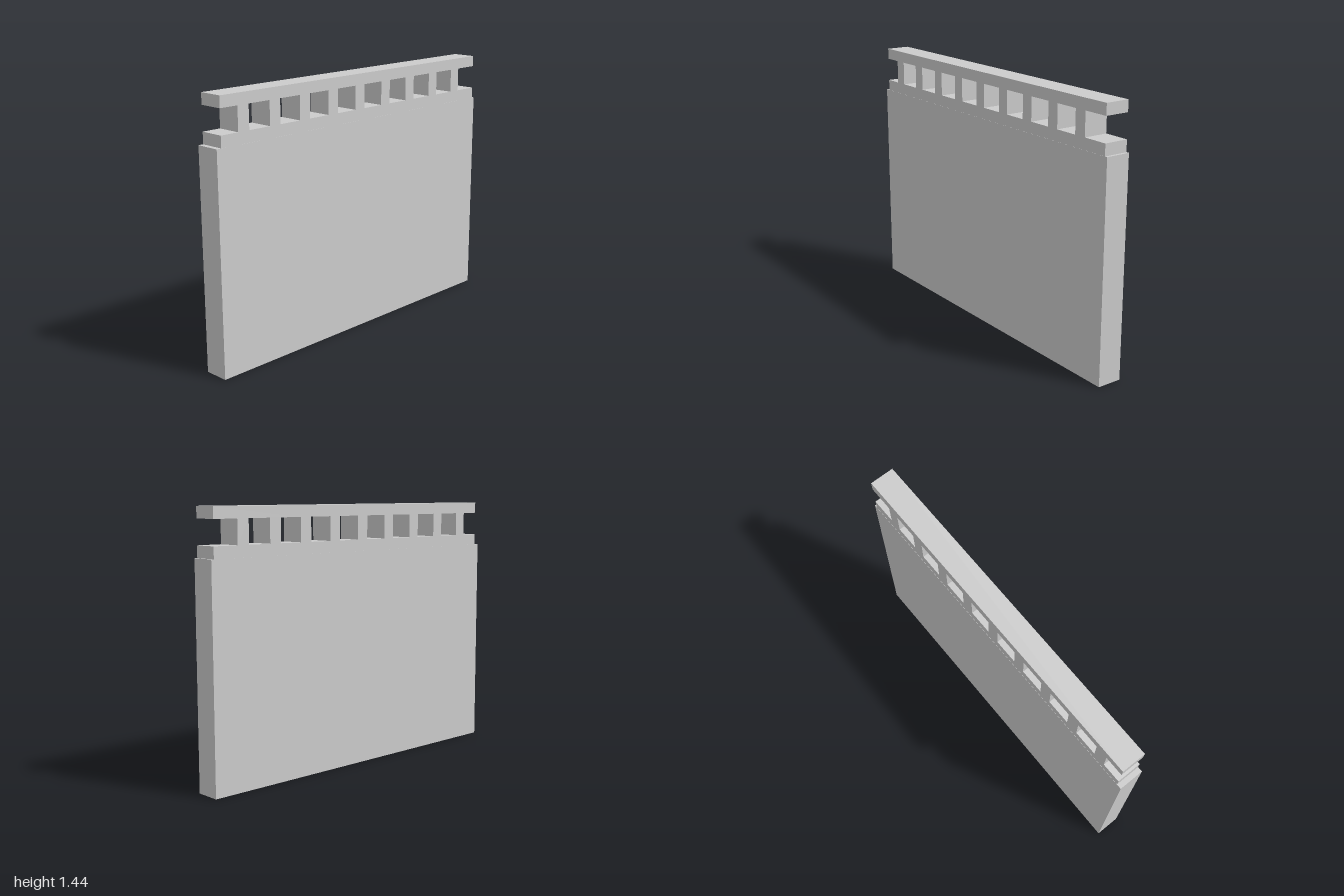
import * as THREE from 'three';

const material = new THREE.MeshStandardMaterial({ color: 0xcccccc, side: THREE.DoubleSide, flatShading: true });

// Wall panel: a hollow box, open underneath
function panelGeometry(width, height, depth) {
  const geometry = new THREE.BoxGeometry(width, height, depth);
  const index = Array.from(geometry.index.array);
  index.splice(18, 6); // drop the bottom face
  geometry.setIndex(index);
  geometry.clearGroups();
  geometry.translate(0, height / 2, 0);
  return geometry;
}

// Pierced rail: bottom and top bars joined by posts, open at both ends
function railGeometry(depth) {
  const left = -0.972, right = 0.984;
  const y0 = 1.184, y1 = 1.246, y2 = 1.376, y3 = 1.437;
  const posts = 9, pitch = 0.2044, first = -0.83, half = 0.035;
  const postX = (i) => first + i * pitch;
  const inL = postX(0) - half, inR = postX(posts - 1) + half;

  const shape = new THREE.Shape([
    [left, y0], [right, y0], [right, y1], [inR, y1], [inR, y2], [right, y2],
    [right, y3], [left, y3], [left, y2], [inL, y2], [inL, y1], [left, y1],
  ].map(([x, y]) => new THREE.Vector2(x, y)));

  // Square openings between neighbouring posts
  for (let i = 0; i < posts - 1; i++) {
    const a = postX(i) + half, b = postX(i + 1) - half;
    shape.holes.push(new THREE.Path([
      new THREE.Vector2(a, y1), new THREE.Vector2(a, y2),
      new THREE.Vector2(b, y2), new THREE.Vector2(b, y1),
    ]));
  }
  const geometry = new THREE.ExtrudeGeometry(shape, { depth, bevelEnabled: false });
  geometry.translate(0, 0, -depth / 2);
  return geometry;
}

export function createModel() {
  const model = new THREE.Group();
  model.name = 'piercedWall';

  const panel = new THREE.Mesh(panelGeometry(2, 1.184, 0.138), material);
  panel.name = 'wallPanel';

  const rail = new THREE.Mesh(railGeometry(0.136), material);
  rail.name = 'piercedRail';

  model.add(panel, rail);
  return model;
}
